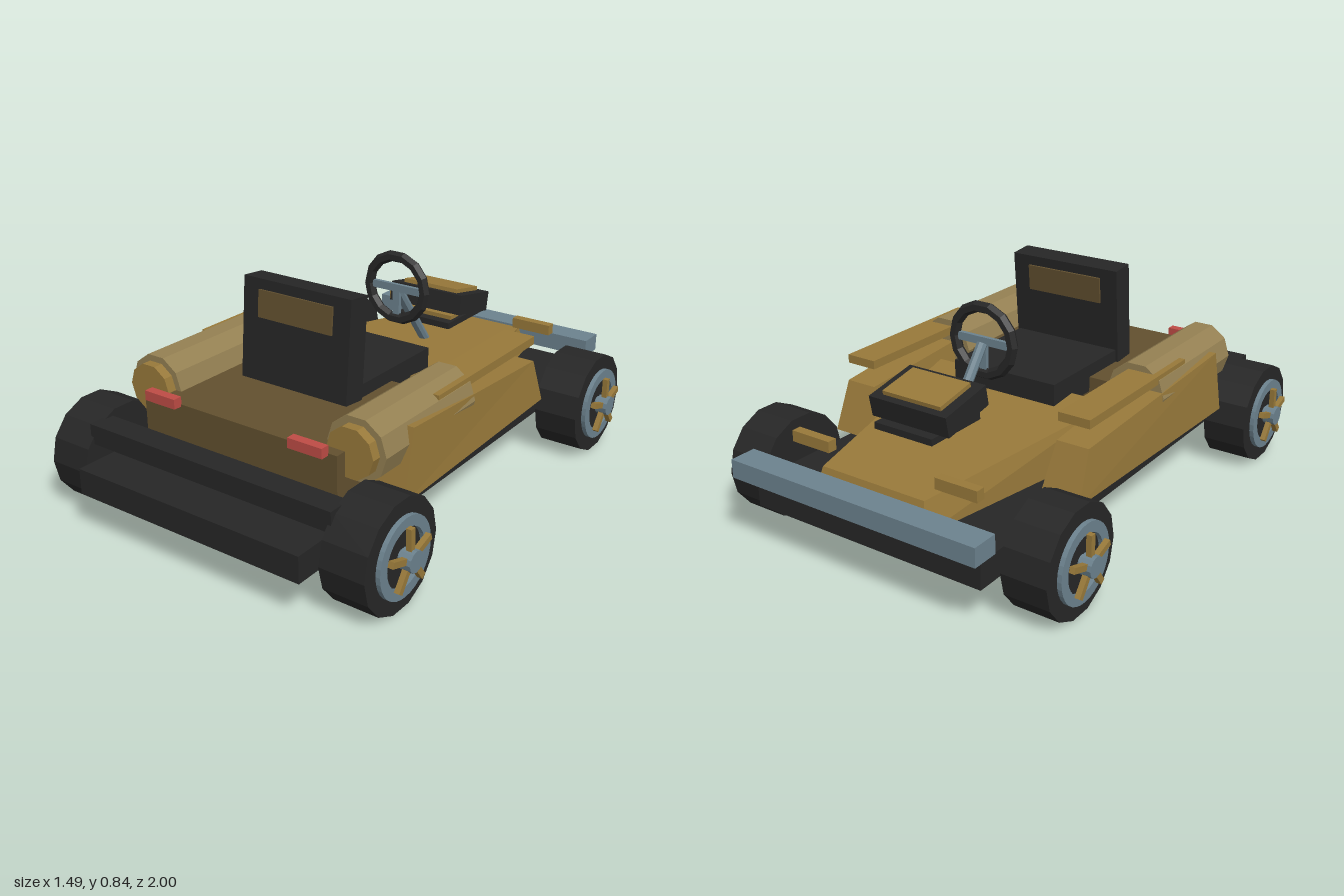
import * as THREE from 'three';

const mat = (name, color) => {
  const m = new THREE.MeshStandardMaterial({ color, flatShading: true });
  m.name = name;
  return m;
};

export function createModel() {
  const kart = new THREE.Group();
  kart.name = 'kart';
  const gold = mat('gold', 0x98793a);
  const tan = mat('tan', 0x948052);
  const brown = mat('dark brown', 0x62502f);
  const black = mat('black', 0x262626);
  const steel = mat('steel', 0x6c828e);
  const red = mat('red', 0xbe4c45);

  const add = (name, geo, m, parent = kart) => {
    const mesh = new THREE.Mesh(geo, m);
    mesh.name = name;
    parent.add(mesh);
    return mesh;
  };
  // box given by its ranges on each axis
  const box = (name, m, x0, x1, y0, y1, z0, z1, parent) => {
    const mesh = add(name, new THREE.BoxGeometry(Math.abs(x1 - x0), y1 - y0, z1 - z0), m, parent);
    mesh.position.set((x0 + x1) / 2, (y0 + y1) / 2, (z0 + z1) / 2);
    return mesh;
  };
  // box whose corners are moved by a rule
  const wedge = (name, m, rule) => {
    const geo = new THREE.BoxGeometry(2, 2, 2);
    const p = geo.attributes.position;
    for (let i = 0; i < p.count; i++) p.setXYZ(i, ...rule(p.getX(i), p.getY(i), p.getZ(i)));
    return add(name, geo, m);
  };
  // cylinder lying along x
  const rod = (name, m, r, x0, x1, y, z, sides, parent) => {
    const geo = new THREE.CylinderGeometry(r, r, Math.abs(x1 - x0), sides).rotateZ(Math.PI / 2);
    const mesh = add(name, geo, m, parent);
    mesh.position.set((x0 + x1) / 2, y, z);
    return mesh;
  };

  // chassis and bumpers
  box('floorPan', black, -0.485, 0.485, 0.155, 0.253, -0.925, 1);
  box('rearBumper', black, -0.53, 0.53, 0.297, 0.372, 0.8, 0.895);
  box('frontBumper', steel, -0.522, 0.522, 0.285, 0.355, -1, -0.897);

  // body
  box('rearDeck', brown, -0.425, 0.425, 0.268, 0.458, 0.125, 0.722);
  wedge('nose', gold, (x, y, z) => {
    if (z < 0) return y < 0 ? [x * 0.24, 0.253, -0.897] : [x * 0.22, 0.36, -0.865];
    return y < 0 ? [x * 0.405, 0.253, 0.045] : [x * 0.395, 0.435, 0];
  });

  for (const s of [1, -1]) {
    const side = s > 0 ? 'left' : 'right';
    // side pod with the rail and the barrel that lies on it
    wedge(side + 'SidePod', gold, (x, y, z) => {
      const outer = x * s > 0;
      if (z > 0) return y < 0 ? [s * (outer ? 0.575 : 0.37), 0.257, 0.56] : [s * (outer ? 0.57 : 0.4), 0.512, 0.5];
      return y < 0 ? [s * (outer ? 0.548 : 0.39), 0.257, -0.455] : [s * (outer ? 0.538 : 0.41), 0.44, -0.385];
    });
    box(side + 'Rail', gold, s * 0.41, s * 0.537, 0.51, 0.543, -0.38, 0.3);
    const barrel = (name, m, r, z0, z1) => {
      const geo = new THREE.CylinderGeometry(r, r, z1 - z0, 10).rotateY(Math.PI / 2).rotateX(Math.PI / 2);
      add(name, geo, m).position.set(s * 0.443, 0.455, (z0 + z1) / 2);
    };
    barrel(side + 'Barrel', tan, 0.118, 0.095, 0.643);
    barrel(side + 'BarrelCap', gold, 0.093, 0.64, 0.68);
    // lamps
    box(side + 'TailLight', red, s * 0.25, s * 0.39, 0.45, 0.487, 0.72, 0.755);
    box(side + 'NoseBar', gold, s * 0.23, s * 0.4, 0.388, 0.43, -0.823, -0.786);
  }

  // seat
  box('seatCushion', black, -0.227, 0.227, 0.4, 0.508, -0.122, 0.34);
  const back = new THREE.Group();
  back.name = 'seatBack';
  back.position.set(0, 0.65, 0.352);
  back.rotation.x = -0.09;
  kart.add(back);
  box('backrest', black, -0.236, 0.236, -0.19, 0.19, -0.047, 0.047, back);
  box('headPanel', brown, -0.163, 0.163, 0.05, 0.152, -0.055, 0.055, back);

  // steering
  const wheelRim = add('steeringWheel', new THREE.TorusGeometry(0.128, 0.022, 6, 14), black);
  wheelRim.position.set(0, 0.67, -0.242);
  box('steeringCrossbar', steel, -0.12, 0.12, 0.655, 0.685, -0.25, -0.234);
  box('steeringSpoke', steel, -0.015, 0.015, 0.555, 0.67, -0.25, -0.234);
  const top = new THREE.Vector3(0, 0.66, -0.25), foot = new THREE.Vector3(0, 0.37, -0.47);
  const column = add('steeringColumn', new THREE.CylinderGeometry(0.02, 0.02, top.distanceTo(foot), 8), steel);
  column.position.copy(top).add(foot).multiplyScalar(0.5);
  column.quaternion.setFromUnitVectors(new THREE.Vector3(0, 1, 0), top.clone().sub(foot).normalize());

  // tilted box over the nose
  box('consoleBase', black, -0.125, 0.125, 0.463, 0.488, -0.703, -0.435);
  box('consoleSpacer', gold, -0.11, 0.11, 0.486, 0.505, -0.645, -0.475);
  const consoleBox = new THREE.Group();
  consoleBox.name = 'console';
  consoleBox.position.set(0, 0.548, -0.56);
  consoleBox.rotation.x = -0.19;
  kart.add(consoleBox);
  box('consoleBody', black, -0.167, 0.167, -0.04, 0.04, -0.113, 0.113, consoleBox);
  box('consoleTop', gold, -0.126, 0.126, 0.035, 0.056, -0.085, 0.083, consoleBox);

  // axles and wheels
  const ring = new THREE.Shape().absarc(0, 0, 0.142, 0, Math.PI * 2);
  ring.holes.push(new THREE.Path().absarc(0, 0, 0.104, 0, Math.PI * 2, true));
  const ringGeo = new THREE.ExtrudeGeometry(ring, { depth: 0.022, bevelEnabled: false, curveSegments: 16 });
  ringGeo.rotateY(Math.PI / 2);
  for (const [end, z] of [['front', -0.668], ['rear', 0.745]]) {
    rod(end + 'Axle', steel, 0.025, -0.74, 0.74, 0.203, z, 10);
    for (const s of [1, -1]) {
      const wheel = new THREE.Group();
      wheel.name = end + (s > 0 ? 'Left' : 'Right') + 'Wheel';
      wheel.position.set(0, 0.2, z);
      if (s < 0) wheel.rotation.y = Math.PI;
      kart.add(wheel);
      rod('tyre', black, 0.2, 0.517, 0.69, 0, 0, 14, wheel);
      add('rim', ringGeo, steel, wheel).position.x = 0.685;
      rod('hub', steel, 0.038, 0.7, 0.746, 0, 0, 12, wheel);
      for (let i = 0; i < 5; i++) {
        const spoke = new THREE.Group();
        spoke.name = 'spoke';
        spoke.rotation.x = i * Math.PI * 0.4;
        wheel.add(spoke);
        box('spokeBar', gold, 0.712, 0.732, 0.02, 0.112, -0.011, 0.011, spoke);
      }
    }
  }
  return kart;
}
